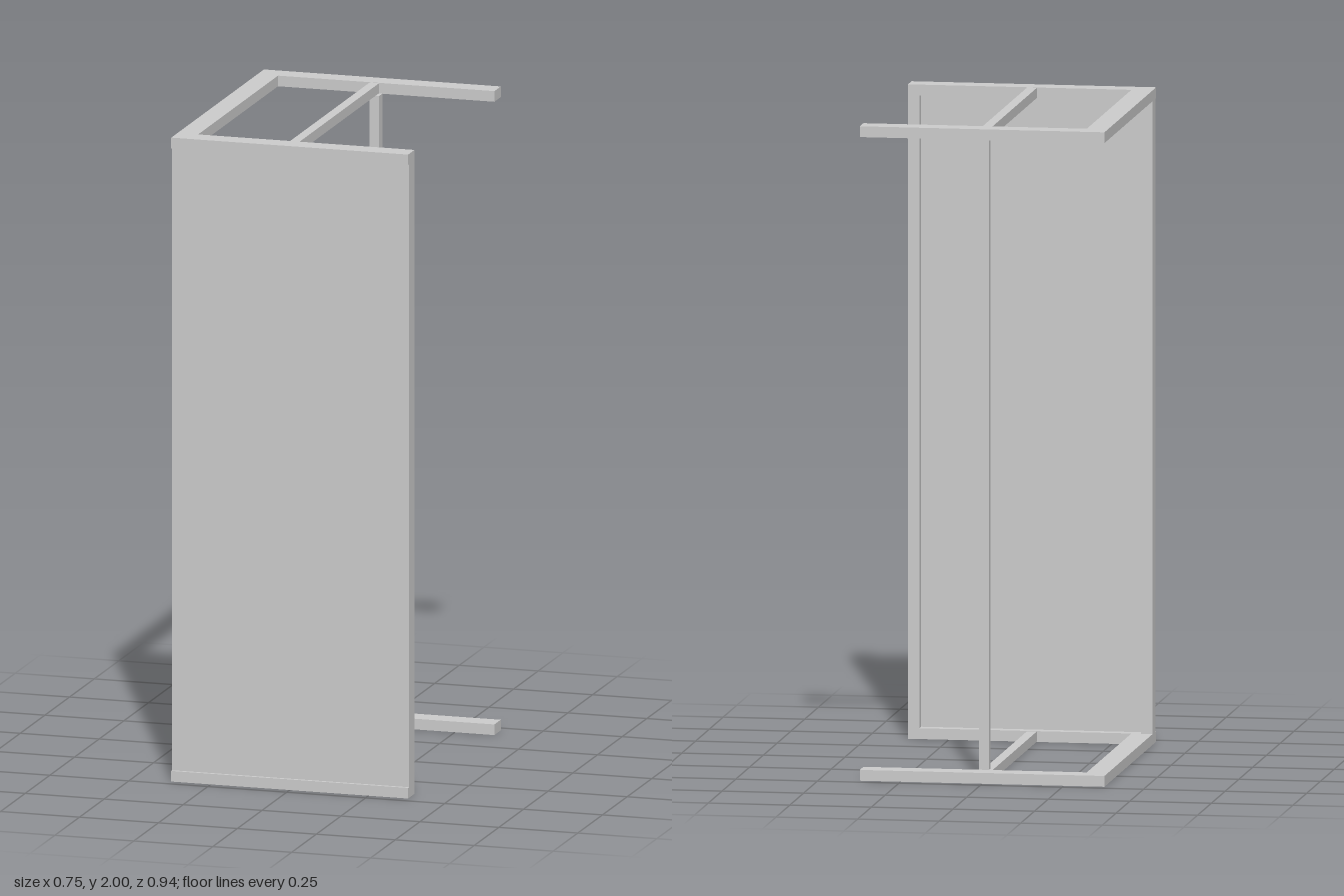
import * as THREE from 'three';

const material = new THREE.MeshStandardMaterial({ color: 0xcccccc, flatShading: true });

// Box given by its extents on each axis
function bar(parent, name, [x0, x1], [y0, y1], [z0, z1]) {
  const mesh = new THREE.Mesh(new THREE.BoxGeometry(x1 - x0, y1 - y0, z1 - z0), material);
  mesh.position.set((x0 + x1) / 2, (y0 + y1) / 2, (z0 + z1) / 2);
  mesh.name = name;
  parent.add(mesh);
}

// Flat U-shaped frame with one cross bar, extruded upwards
function rackFrame(name, y, height) {
  const group = new THREE.Group();
  group.name = name;
  const outline = [
    [-0.375, -0.47], [0.375, -0.47], [0.375, -0.405], [-0.31, -0.405],
    [-0.31, 0.405], [0.375, 0.405], [0.375, 0.47], [-0.375, 0.47],
  ];
  const shape = new THREE.Shape(outline.map(([x, z]) => new THREE.Vector2(x, z)));
  const geometry = new THREE.ExtrudeGeometry(shape, { depth: height, bevelEnabled: false });
  geometry.rotateX(-Math.PI / 2);
  const mesh = new THREE.Mesh(geometry, material);
  mesh.name = 'uFrame';
  mesh.position.y = y;
  group.add(mesh);
  bar(group, 'crossBar', [-0.02, 0.01], [y + 0.001, y + height - 0.001], [-0.405, 0.405]);
  return group;
}

export function createModel() {
  const model = new THREE.Group();
  model.name = 'panelRack';
  const t = 0.033;
  const span = [t, 2 - t];

  // Matching frames at the bottom and top
  model.add(rackFrame('bottomFrame', 0, t), rackFrame('topFrame', 2 - t, t));

  // Front panel: side stiles behind a thin sheet
  const panel = new THREE.Group();
  panel.name = 'frontPanel';
  bar(panel, 'rightStile', [-0.375, -0.34], span, [0.405, 0.46]);
  bar(panel, 'leftStile', [0.34, 0.375], span, [0.405, 0.46]);
  bar(panel, 'sheet', [-0.34, 0.34], span, [0.437, 0.46]);
  model.add(panel);

  // Single upright at the back
  bar(model, 'backPost', [-0.01, 0.02], span, [-0.405, -0.373]);
  return model;
}
